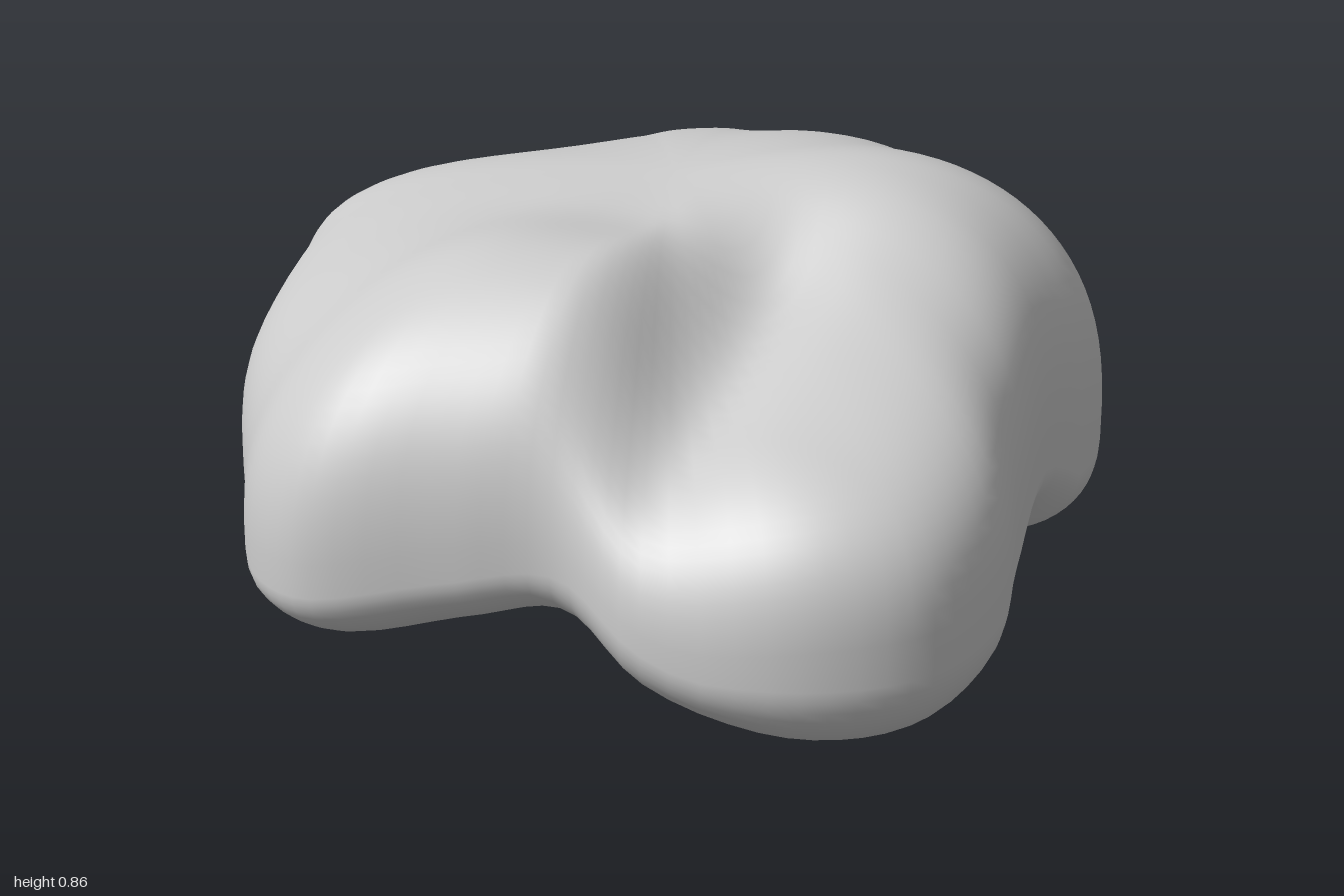
import * as THREE from 'three';

const smooth = (v, a, b) => THREE.MathUtils.smoothstep(v, a, b);
const bell = (d, width) => Math.exp(-((d / width) ** 2));

// Plan outline as [x, z, height of the lower rim], running once around the crown
const OUTLINE = [
  [0.15, -1.0, 0.05], [0.35, -0.92, 0.06], [0.52, -0.77, 0.03], [0.74, -0.57, 0.0],
  [0.81, -0.38, 0.02], [0.8, -0.1, 0.15], [0.84, 0.15, 0.07], [0.905, 0.42, 0.01],
  [0.86, 0.66, 0.0], [0.68, 0.82, 0.02], [0.4, 0.88, 0.1], [0.2, 0.84, 0.19],
  [0, 0.91, 0.16], [-0.25, 1.0, 0.11], [-0.4, 0.95, 0.11], [-0.52, 0.8, 0.13],
  [-0.7, 0.55, 0.11], [-0.82, 0.2, 0.1], [-0.91, -0.05, 0.11], [-0.83, -0.36, 0.18],
  [-0.71, -0.68, 0.05], [-0.6, -0.82, 0.07], [-0.45, -0.86, 0.2], [-0.25, -0.89, 0.24],
  [-0.1, -0.94, 0.14],
];

// Height of the upper face before it rounds over into the walls
function topHeight(x, z) {
  const lobe = 0.22 * smooth(x, 0.1, 0.42) * smooth(z, -0.1, 0.6);
  const groove = 0.04 * bell(x - 0.33, 0.1) * smooth(z, -0.05, 0.25);
  const frontRidge = 0.08 * smooth(z, 0.2, 0.65) * (1 - smooth(x, 0.1, 0.3)) * smooth(x, -0.6, 0);
  const dip = 0.03 * bell(z - 0.2, 0.2) * smooth(x, -0.2, 0.2);
  const backHump = 0.06 * bell(Math.hypot(x - 0.45, z + 0.35), 0.5);
  return 0.81 + 0.07 * x - lobe - groove - dip + frontRidge + backHump;
}

// One radial cross-section: rounded top, wall bulge, rim and hollow underside
function section(p) {
  const { x, y: rim, z } = p;
  const leftBulge = smooth(-x, 0.2, 0.9) * smooth(z, -0.8, -0.1) * (1 - 0.3 * smooth(z, 0.2, 0.6));
  const widest = Math.max(0.2 + 0.28 * leftBulge, rim + 0.13);
  // Higher power gives a squarer shoulder
  const power = 2.4 + 0.25 * z + 0.7 * smooth(x, 0.4, 0.8) * smooth(z, -0.8, -0.2);
  const rimScale = 0.78 + 0.06 * smooth(-x, 0.3, 0.7) * smooth(-z, 0.2, 0.6);
  const pts = [];
  const add = (s, y) => pts.push([x * s, y, z * s]);
  const TOP = 32, WALL = 12, UNDER = 14;
  for (let i = 1; i <= TOP; i++) {
    const s = Math.sin((i / TOP) * Math.PI / 2);
    const dome = Math.pow(Math.max(0, 1 - s ** power), 1 / power);
    add(s, widest + (topHeight(x * s, z * s) - widest) * dome);
  }
  for (let i = 1; i <= WALL; i++) {
    const a = (i / WALL) * Math.PI / 2;
    add(rimScale + (1 - rimScale) * Math.cos(a), widest - (widest - rim) * Math.sin(a));
  }
  for (let i = 1; i < UNDER; i++) {
    const s = rimScale * (1 - i / UNDER);
    add(s, THREE.MathUtils.lerp(0.21, rim, smooth(s, 0.3, rimScale)));
  }
  return pts;
}

function crownGeometry(segments = 120) {
  const curve = new THREE.CatmullRomCurve3(
    OUTLINE.map(([x, z, y]) => new THREE.Vector3(x, y, z)), true);
  const rings = Array.from({ length: segments }, (_, i) => section(curve.getPoint(i / segments)));
  const n = rings[0].length;
  const top = segments * n, bottom = top + 1;
  const positions = [...rings.flat(2), 0, topHeight(0, 0), 0, 0, 0.21, 0];
  const index = [];
  for (let i = 0; i < segments; i++) {
    const a = i * n, c = ((i + 1) % segments) * n;
    index.push(top, c, a);
    for (let j = 0; j < n - 1; j++) {
      index.push(a + j, c + j, a + j + 1, c + j, c + j + 1, a + j + 1);
    }
    index.push(a + n - 1, c + n - 1, bottom);
  }
  const geo = new THREE.BufferGeometry();
  geo.setAttribute('position', new THREE.Float32BufferAttribute(positions, 3));
  geo.setIndex(index);
  geo.computeVertexNormals();
  return geo;
}

export function createModel() {
  const group = new THREE.Group();
  group.name = 'lobedCrown';
  const crown = new THREE.Mesh(crownGeometry(), new THREE.MeshStandardMaterial({ color: 0xcccccc }));
  crown.name = 'crown';
  group.add(crown);
  return group;
}
